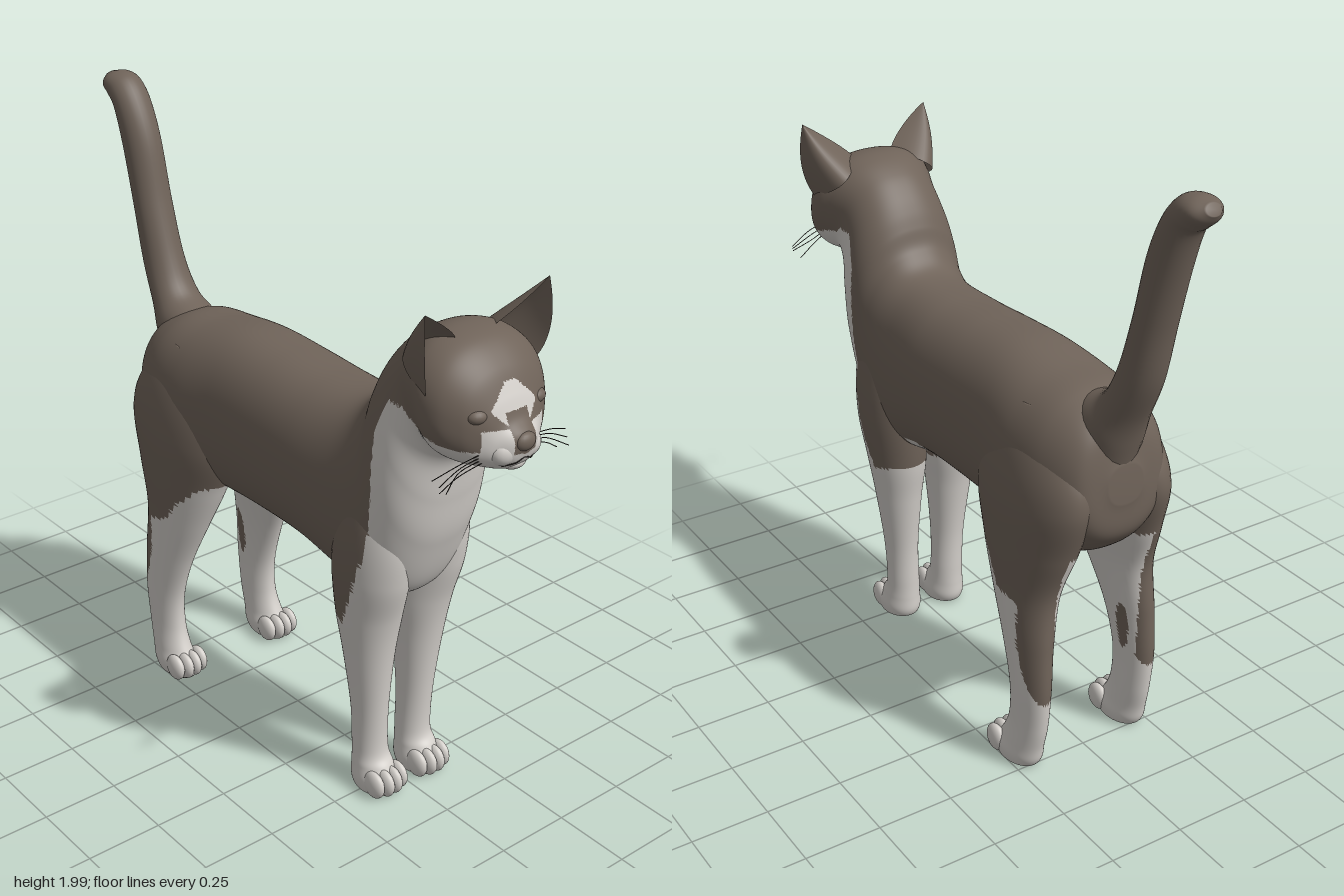
import * as THREE from 'three';

const brown = new THREE.MeshStandardMaterial({ color: 0x6f6359, side: THREE.DoubleSide });
brown.name = 'brownFur';
const white = new THREE.MeshStandardMaterial({ color: 0xd3cfca });
white.name = 'whiteFur';
const dark = new THREE.MeshStandardMaterial({ color: 0x2b2622 });
dark.name = 'darkDetail';

// Upper limit of the white fur along the side, as [x, y]
const coatLine = [
  [-0.7, 0.2], [-0.58, 0.27], [-0.54, 0.33], [-0.505, 0.4], [-0.485, 0.48], [-0.495, 0.59],
  [-0.47, 0.615], [-0.38, 0.64], [-0.33, 0.72], [-0.25, 0.79], [-0.1, 0.82], [0.33, 0.8],
  [0.355, 0.65], [0.46, 0.63], [0.51, 0.75], [0.56, 0.9], [0.58, 1.1], [0.585, 1.33],
  [0.62, 1.43], [0.68, 1.43], [0.71, 1.4], [0.81, 1.39], [0.88, 1.36], [1.1, 1.35],
];

function coatHeight(x) {
  for (let i = 1; i < coatLine.length; i++) {
    const [x0, y0] = coatLine[i - 1], [x1, y1] = coatLine[i];
    if (x <= x1) return y0 + (y1 - y0) * Math.max(0, (x - x0) / (x1 - x0));
  }
  return 0;
}

// Coat pattern: true where the fur is white
function isWhite(x, y, z) {
  const a = Math.abs(z);
  if (y < 0.012) return false; // soles
  if (x > 0.86 && y > 1.3) {
    if (a < 0.04 && y > 1.355 && y < 1.465) return false; // bridge of the nose
    if (y > 1.43) return y < 1.54 && a < Math.min(0.08, 1.56 - y, 0.04 + (y - 1.43)); // blaze
    if (y < 1.425 && a < 0.115) return true; // muzzle
  }
  if (x < -0.2 && y < 0.8 && a < 0.16) { // inside of hind legs, with a small brown patch
    return y > 0.6 || Math.hypot((x + 0.5) / 0.025, (y - 0.41) / 0.09) > 1;
  }
  return y < coatHeight(x) + 0.006 * Math.sin(x * 41 + z * 17);
}

// Smooth skin over sections [ax, ay, bx, by, zCentre, halfWidth]; a and b are opposite rim points,
// and a power under 1 squares the sections off
function loft(name, keys, rows, segs, paint, side = 1, power = 1) {
  const a = new THREE.CatmullRomCurve3(keys.map(k => new THREE.Vector3(k[0], k[1], k[4] * side)), false, 'catmullrom');
  const b = new THREE.CatmullRomCurve3(keys.map(k => new THREE.Vector3(k[2], k[3], k[5])), false, 'catmullrom');
  const square = v => Math.sign(v) * Math.abs(v) ** power;
  const pos = [];
  for (let i = -1; i <= rows + 1; i++) {
    const t = Math.min(1, Math.max(0, i / rows));
    const open = i < 0 || i > rows ? 0 : 1; // end rings collapse into caps
    const p = a.getPoint(t), q = b.getPoint(t);
    for (let j = 0; j < segs; j++) {
      const angle = j / segs * Math.PI * 2;
      const c = square(Math.cos(angle)) * open, s = square(Math.sin(angle)) * open;
      pos.push((p.x + q.x) / 2 + c * (p.x - q.x) / 2, (p.y + q.y) / 2 + c * (p.y - q.y) / 2, p.z + s * q.z);
    }
  }
  const lists = [[], []];
  const mid = (tri, k) => (pos[tri[0] * 3 + k] + pos[tri[1] * 3 + k] + pos[tri[2] * 3 + k]) / 3;
  for (let i = 0; i < rows + 2; i++) {
    for (let j = 0; j < segs; j++) {
      const n = (j + 1) % segs;
      const v0 = i * segs + j, v1 = i * segs + n, v2 = v0 + segs, v3 = v1 + segs;
      for (const tri of [[v0, v1, v2], [v1, v3, v2]]) {
        lists[paint(mid(tri, 0), mid(tri, 1), mid(tri, 2)) ? 1 : 0].push(...tri);
      }
    }
  }
  const geo = new THREE.BufferGeometry();
  geo.setAttribute('position', new THREE.Float32BufferAttribute(pos, 3));
  geo.setIndex([...lists[0], ...lists[1]]);
  geo.addGroup(0, lists[0].length, 0);
  geo.addGroup(lists[0].length, lists[1].length, 1);
  geo.computeVertexNormals();
  const mesh = new THREE.Mesh(geo, [brown, white]);
  mesh.name = name;
  return mesh;
}

function blob(name, mat, x, y, z, rx, ry, rz) {
  const mesh = new THREE.Mesh(new THREE.SphereGeometry(1, 20, 14), mat);
  mesh.position.set(x, y, z);
  mesh.scale.set(rx, ry, rz);
  mesh.name = name;
  return mesh;
}

function strand(name, points, radius) {
  const curve = new THREE.CatmullRomCurve3(points.map(p => new THREE.Vector3(...p)));
  const mesh = new THREE.Mesh(new THREE.TubeGeometry(curve, 10, radius, 5), dark);
  mesh.name = name;
  return mesh;
}

// Cupped ear, open to the front, with a rounded back
function ear(s) {
  const base = new THREE.QuadraticBezierCurve3(
    new THREE.Vector3(0.765, 1.63, 0.07 * s), new THREE.Vector3(0.55, 1.6, 0.19 * s), new THREE.Vector3(0.8, 1.51, 0.205 * s));
  const root = base.getPoint(0.5);
  const tip = new THREE.Vector3(0.815, 1.755, 0.23 * s);
  const geo = new THREE.PlaneGeometry(1, 1, 20, 16);
  const pos = geo.attributes.position;
  for (let i = 0; i < pos.count; i++) {
    const v = pos.getY(i) + 0.5;
    const p = base.getPoint(pos.getX(i) + 0.5).sub(root).multiplyScalar(1 - v ** 1.5);
    p.add(root.clone().lerp(tip, v));
    p.z += Math.sin(v * Math.PI) * 0.012 * s;
    pos.setXYZ(i, p.x, p.y, p.z);
  }
  geo.computeVertexNormals();
  const mesh = new THREE.Mesh(geo, brown);
  mesh.name = s > 0 ? 'earNear' : 'earFar';
  return mesh;
}

export function createModel() {
  const cat = new THREE.Group();
  cat.name = 'cat';

  // Trunk, neck and head in one skin, from rump to nose
  cat.add(loft('bodyAndHead', [
    [-0.672, 1.1, -0.68, 0.98, 0, 0.06], [-0.63, 1.23, -0.66, 0.86, 0, 0.155],
    [-0.52, 1.288, -0.55, 0.77, 0, 0.215], [-0.38, 1.305, -0.36, 0.745, 0, 0.235],
    [-0.2, 1.325, -0.2, 0.755, 0, 0.222], [0, 1.318, 0, 0.76, 0, 0.22],
    [0.2, 1.308, 0.2, 0.75, 0, 0.217], [0.38, 1.32, 0.42, 0.7, 0, 0.203],
    [0.46, 1.38, 0.59, 0.74, 0, 0.2], [0.49, 1.45, 0.685, 0.94, 0, 0.2],
    [0.515, 1.5, 0.72, 1.1, 0, 0.192], [0.55, 1.55, 0.74, 1.22, 0, 0.18],
    [0.6, 1.6, 0.77, 1.275, 0, 0.178], [0.67, 1.64, 0.79, 1.285, 0, 0.196],
    [0.74, 1.65, 0.82, 1.285, 0, 0.214], [0.82, 1.63, 0.86, 1.285, 0, 0.2],
    [0.885, 1.575, 0.9, 1.288, 0, 0.16], [0.925, 1.505, 0.935, 1.292, 0, 0.112],
    [0.95, 1.445, 0.958, 1.305, 0, 0.08], [0.978, 1.414, 0.975, 1.325, 0, 0.05],
    [0.993, 1.39, 0.985, 1.35, 0, 0.018],
  ], 300, 96, isWhite, 1, 0.87));

  // Upright tail with a bent tip
  cat.add(loft('tail', [
    [-0.65, 1.04, -0.4, 1.25, 0, 0.1], [-0.685, 1.15, -0.52, 1.285, 0, 0.1],
    [-0.72, 1.25, -0.6, 1.325, 0, 0.082], [-0.79, 1.4, -0.655, 1.42, 0, 0.07],
    [-0.835, 1.58, -0.715, 1.6, 0, 0.066], [-0.885, 1.76, -0.765, 1.8, 0, 0.065],
    [-0.925, 1.88, -0.82, 1.92, 0, 0.064], [-0.955, 1.91, -0.875, 1.985, 0, 0.062],
    [-0.985, 1.935, -0.93, 2.0, 0, 0.055], [-1.0, 1.96, -0.98, 1.99, 0, 0.025],
  ], 70, 28, () => false));

  for (const s of [1, -1]) {
    const tag = s > 0 ? 'Near' : 'Far';

    cat.add(loft('frontLeg' + tag, [
      [0.6, 1.14, 0.42, 1.16, 0.1, 0.07], [0.64, 0.96, 0.37, 0.98, 0.112, 0.095],
      [0.628, 0.8, 0.355, 0.82, 0.112, 0.105], [0.588, 0.65, 0.365, 0.65, 0.103, 0.098],
      [0.562, 0.5, 0.39, 0.5, 0.1, 0.078], [0.542, 0.3, 0.415, 0.3, 0.094, 0.058],
      [0.539, 0.15, 0.42, 0.15, 0.09, 0.056], [0.565, 0.1, 0.42, 0.085, 0.09, 0.061],
      [0.595, 0.06, 0.42, 0.04, 0.09, 0.068], [0.595, 0.02, 0.43, 0.015, 0.09, 0.064],
      [0.58, 0.006, 0.445, 0.006, 0.09, 0.054],
    ], 130, 50, isWhite, s));

    cat.add(loft('hindLeg' + tag, [
      [-0.28, 1.23, -0.5, 1.24, 0.09, 0.08], [-0.19, 1.07, -0.625, 1.1, 0.125, 0.11],
      [-0.165, 0.92, -0.668, 0.97, 0.14, 0.122], [-0.215, 0.77, -0.62, 0.8, 0.155, 0.108],
      [-0.28, 0.62, -0.568, 0.64, 0.175, 0.082], [-0.355, 0.45, -0.57, 0.47, 0.192, 0.062],
      [-0.4, 0.3, -0.575, 0.31, 0.198, 0.052], [-0.4, 0.18, -0.56, 0.17, 0.198, 0.05],
      [-0.37, 0.1, -0.54, 0.085, 0.2, 0.055], [-0.335, 0.06, -0.53, 0.04, 0.2, 0.062],
      [-0.335, 0.02, -0.515, 0.015, 0.2, 0.058], [-0.345, 0.006, -0.5, 0.006, 0.2, 0.05],
    ], 130, 50, isWhite, s));

    // Toes, four on each paw
    for (const [x, z] of [[0.576, 0.09], [-0.353, 0.2]]) {
      for (let i = 0; i < 4; i++) {
        const d = i - 1.5;
        cat.add(blob('toe', white, x - 0.012 * Math.abs(d), 0.053, (z + d * 0.032) * s, 0.045, 0.046, 0.022));
      }
    }

    // Face
    cat.add(ear(s));
    cat.add(blob('whiskerPad' + tag, white, 0.94, 1.354, 0.044 * s, 0.038, 0.042, 0.046));
    cat.add(blob('eyelid' + tag, brown, 0.898, 1.462, 0.108 * s, 0.03, 0.024, 0.036));
    for (let i = 0; i < 4; i++) {
      const end = 1.335 - i * 0.016;
      cat.add(strand('whisker', [[0.925, 1.36 - i * 0.009, 0.085 * s],
        [0.915 - i * 0.005, end + 0.01, 0.17 * s], [0.89 + (i % 3) * 0.018, end - 0.025, (0.255 - i * 0.01) * s]], 0.0014));
    }
  }
  cat.add(blob('nose', brown, 0.978, 1.385, 0, 0.022, 0.028, 0.036));
  cat.add(blob('chin', white, 0.935, 1.312, 0, 0.035, 0.024, 0.042));
  cat.add(strand('mouth', [[0.955, 1.318, -0.06], [0.978, 1.328, -0.025], [0.98, 1.338, 0], [0.978, 1.328, 0.025], [0.955, 1.318, 0.06]], 0.002));
  return cat;
}
